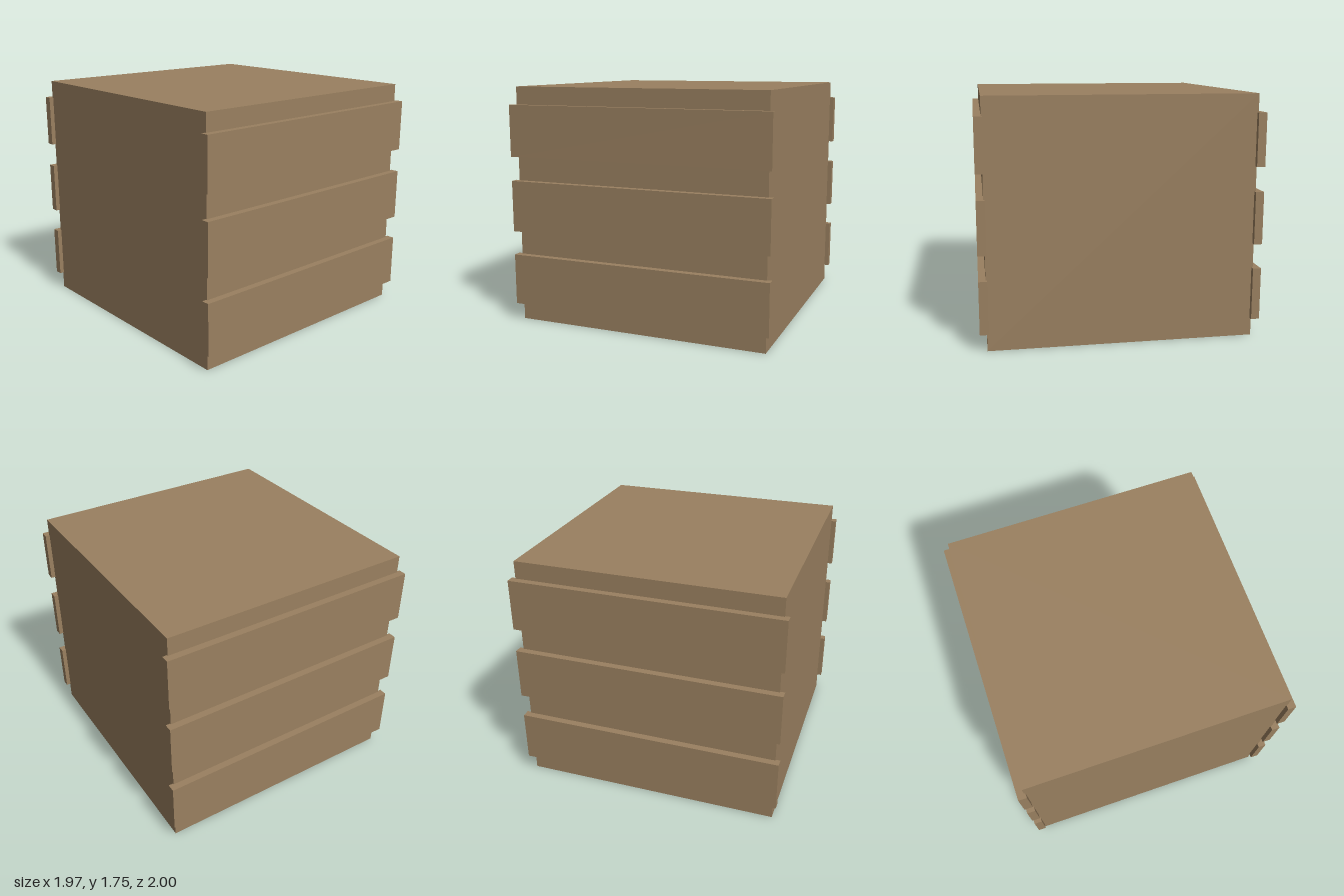
import * as THREE from 'three';

export function createModel() {
  const model = new THREE.Group();
  model.name = 'slattedCrate';

  const wood = new THREE.MeshStandardMaterial({ color: 0x9a8060 });
  wood.name = 'brown wood';

  const addBox = (name, w, h, d, y, z) => {
    const mesh = new THREE.Mesh(new THREE.BoxGeometry(w, h, d), wood);
    mesh.name = name;
    mesh.position.set(0, y, z);
    model.add(mesh);
  };

  // Solid crate body
  addBox('crateBody', 1.9, 1.75, 1.9, 0.875, 0);

  // Three planks across the front and the back, slightly wider than the body
  for (const [side, z] of [['front', 0.97], ['back', -0.97]]) {
    for (let i = 0; i < 3; i++) {
      addBox(`${side}Plank${i + 1}`, 1.966, 0.378, 0.06, 0.319 + i * 0.556, z);
    }
  }

  return model;
}
